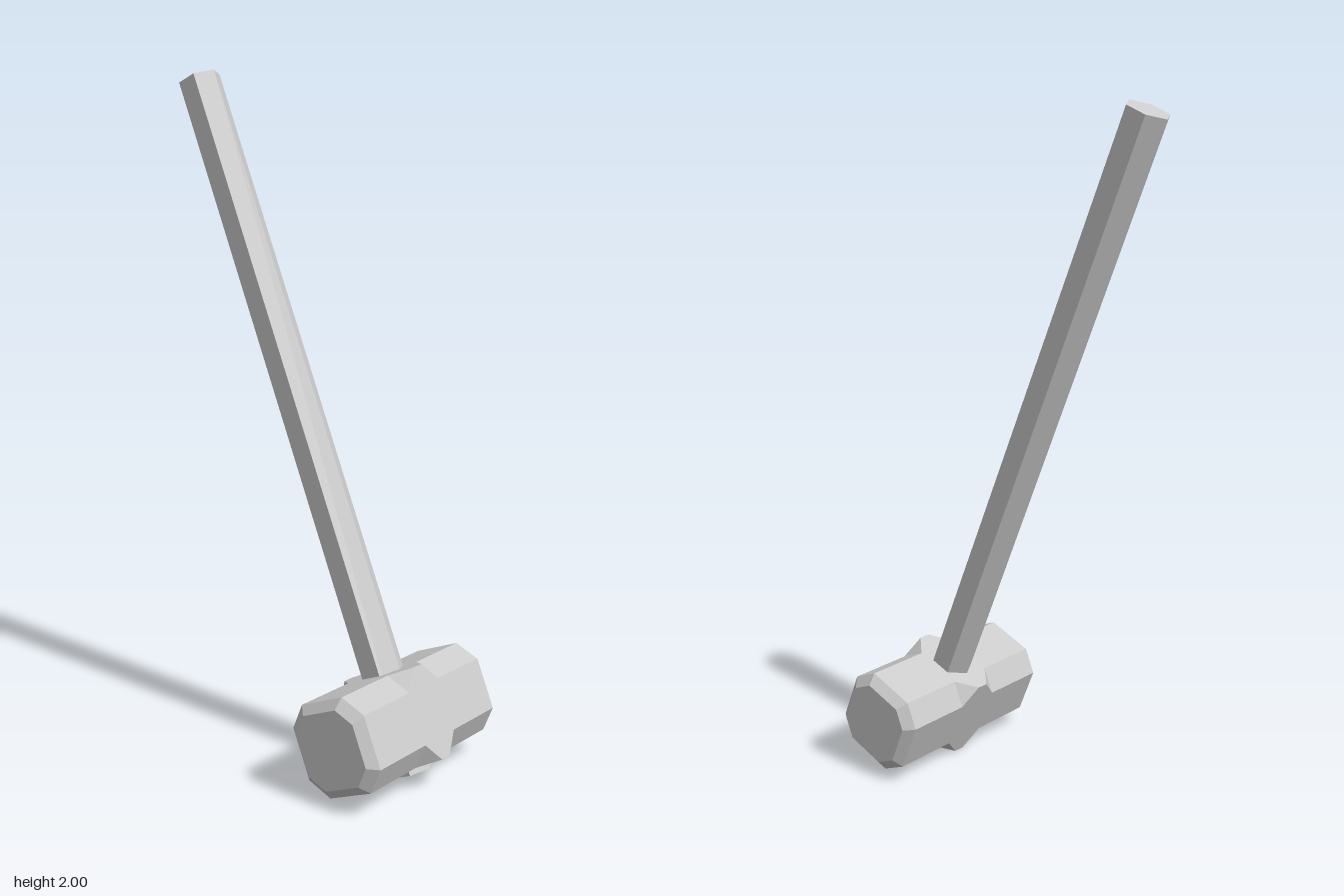
import * as THREE from 'three';

// Chamfered-square ring around the x axis: h = half width, a = half of each flat
const ring = (x, h, a) => [
  [h, a], [a, h], [-a, h], [-h, a], [-h, -a], [-a, -h], [a, -h], [h, -a],
].map(([y, z]) => [x, y, z]);

// Skin a row of rings (ordered from -x to +x) and close both ends
function loft(rings) {
  const n = rings[0].length;
  const last = rings.length - 1;
  const index = [];
  for (let i = 0; i < last; i++) {
    for (let j = 0; j < n; j++) {
      const a = i * n + j, b = i * n + (j + 1) % n;
      index.push(a, b, a + n, b, b + n, a + n);
    }
  }
  for (let j = 1; j < n - 1; j++) {
    index.push(0, j + 1, j);
    index.push(last * n, last * n + j, last * n + j + 1);
  }
  const geo = new THREE.BufferGeometry();
  geo.setAttribute('position', new THREE.Float32BufferAttribute(rings.flat(2), 3));
  geo.setIndex(index);
  const flat = geo.toNonIndexed();
  flat.computeVertexNormals();
  return flat;
}

export function createModel() {
  const material = new THREE.MeshStandardMaterial({ color: 0xcccccc, flatShading: true });
  const model = new THREE.Group();
  model.name = 'sledgehammer';

  // Head: bevelled striking faces, chamfered barrels, square-cornered middle
  const h = 0.1327;
  const half = [[0.018, h, h * 0.999], [0.07, h, 0.075], [0.275, h, 0.075], [0.3, 0.106, 0.06]];
  const sections = [
    ...half.map(([x, s, a]) => [-x, s, a]).reverse(),
    ...half,
  ];
  const head = new THREE.Mesh(loft(sections.map((s) => ring(...s))), material);
  head.name = 'head';
  model.add(head);

  // Handle: six-sided shaft passing through the head, its butt showing below
  const top = 1.95, bottom = -0.157;
  const handle = new THREE.Mesh(
    new THREE.CylinderGeometry(0.064, 0.065, top - bottom, 6), material);
  handle.position.set(0.002, (top + bottom) / 2, 0);
  handle.name = 'handle';
  model.add(handle);

  // Lean the whole tool back, resting on the head's lower edge
  model.rotation.x = -Math.PI / 8;
  model.position.set(0, 0.1735, 0.315);

  const root = new THREE.Group();
  root.add(model);
  return root;
}
